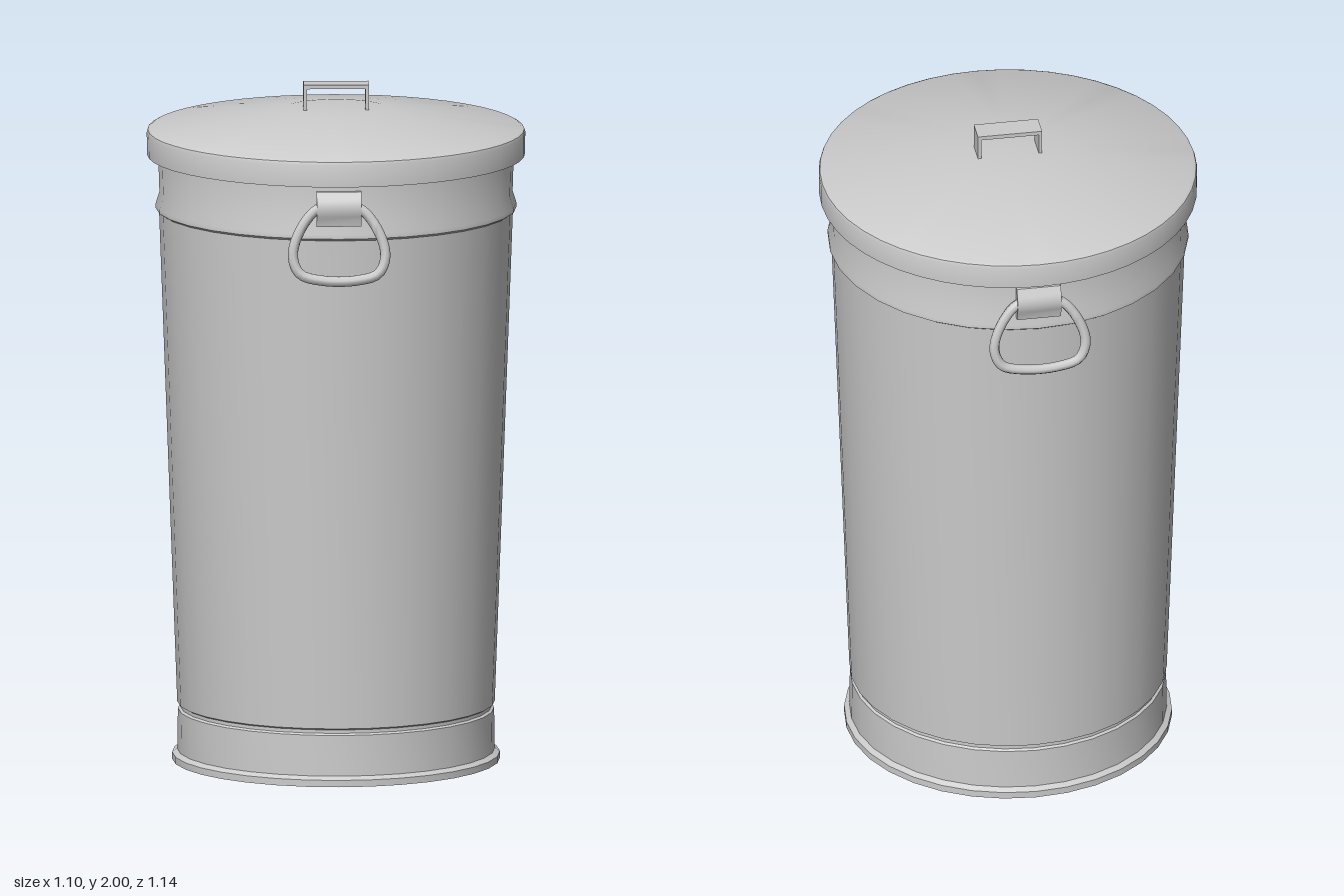
import * as THREE from 'three';
import { toCreasedNormals } from 'three/addons/utils/BufferGeometryUtils.js';

const material = new THREE.MeshStandardMaterial({ color: 0xcccccc });

function part(name, geometry, crease = 0.45) {
  const mesh = new THREE.Mesh(toCreasedNormals(geometry, crease), material);
  mesh.name = name;
  return mesh;
}

function lathe(name, profile, sides) {
  const points = profile.map(([r, y]) => new THREE.Vector2(r, y));
  return part(name, new THREE.LatheGeometry(points, sides));
}

// Swinging ring and the strap that holds it, on the +z side
function createSideHandle() {
  const handle = new THREE.Group();
  handle.name = 'sideHandle';

  // D-shaped ring, leaning outwards towards its bottom
  const half = [[0.055, 1.725], [0.105, 1.675], [0.135, 1.59], [0.115, 1.535], [0.05, 1.515]];
  const outline = [...half, ...half.map(([x, y]) => [-x, y]).reverse()];
  const path = new THREE.CatmullRomCurve3(
    outline.map(([x, y]) => new THREE.Vector3(x, y, 0.526 + (1.725 - y) * 0.14)), true);
  handle.add(part('ring', new THREE.TubeGeometry(path, 48, 0.015, 8, true), 1));

  // Strap folded over the top of the ring
  const section = new THREE.Shape();
  section.moveTo(0.5, 1.67);
  section.lineTo(0.53, 1.67);
  section.lineTo(0.534, 1.69);
  section.quadraticCurveTo(0.553, 1.725, 0.534, 1.755);
  section.lineTo(0.526, 1.772);
  section.lineTo(0.5, 1.772);
  section.closePath();
  const strap = new THREE.ExtrudeGeometry(section, { depth: 0.13, bevelEnabled: false, curveSegments: 6 });
  strap.translate(0, 0, -0.065).rotateY(-Math.PI / 2);
  handle.add(part('strap', strap));
  return handle;
}

export function createModel() {
  const model = new THREE.Group();
  model.name = 'dustbin';

  // Tapered body with foot rim, lower groove and raised upper band
  model.add(lathe('body', [
    [0, 0], [0.478, 0], [0.478, 0.02], [0.463, 0.03], [0.461, 0.15],
    [0.454, 0.155], [0.454, 0.165], [0.463, 0.17], [0.516, 1.625],
    [0.526, 1.632], [0.526, 1.645], [0.515, 1.68], [0.52, 1.84], [0, 1.84],
  ], 32));

  // Shallow conical lid with an overhanging skirt
  model.add(lathe('lid', [
    [0, 1.845], [0.538, 1.845], [0.538, 1.79], [0.551, 1.79], [0.552, 1.855],
    [0.549, 1.864], [0.54, 1.869], [0.15, 1.925], [0, 1.927],
  ], 48));

  // Square bracket grip on the lid
  const bracket = new THREE.Shape();
  [[-0.095, 1.92], [-0.085, 1.92], [-0.085, 1.988], [0.085, 1.988],
    [0.085, 1.92], [0.095, 1.92], [0.095, 2], [-0.095, 2]]
    .forEach(([x, y], i) => (i ? bracket.lineTo(x, y) : bracket.moveTo(x, y)));
  const grip = new THREE.ExtrudeGeometry(bracket, { depth: 0.07, bevelEnabled: false });
  model.add(part('lidHandle', grip.translate(0, 0, -0.035)));

  // One swinging handle at the front, one at the back
  for (const turn of [0, Math.PI]) {
    const handle = createSideHandle();
    handle.rotation.y = turn;
    model.add(handle);
  }
  return model;
}
